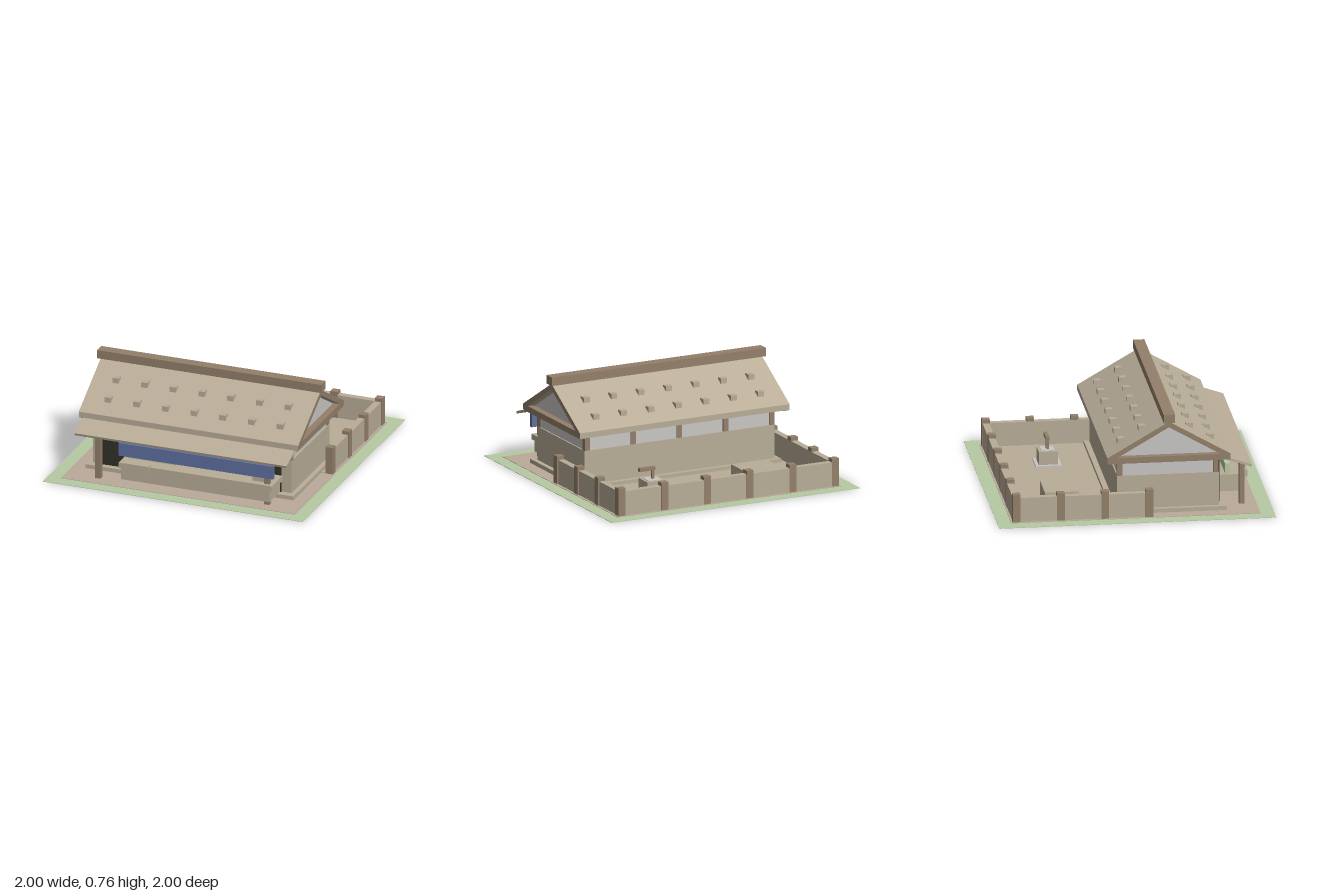
import * as THREE from 'three';

const mat = (name, color) => {
  const m = new THREE.MeshStandardMaterial({ color });
  m.name = name;
  return m;
};

export function createModel() {
  const model = new THREE.Group();
  model.name = 'farmShop';
  const clay = mat('clay', 0xb9ad98);
  const wood = mat('wood', 0x93806a);
  const grass = mat('grass', 0xb7c9a2);
  const dirt = mat('dirt', 0xbaaa9b);
  const plaster = mat('plaster', 0xc8c7c4);
  const cloth = mat('blueCloth', 0x60709f);
  const dark = mat('darkOpening', 0x32322b);

  // Box given by its min and max on each axis
  const box = (name, material, x0, x1, y0, y1, z0, z1) => {
    const m = new THREE.Mesh(new THREE.BoxGeometry(x1 - x0, y1 - y0, z1 - z0), material);
    m.position.set((x0 + x1) / 2, (y0 + y1) / 2, (z0 + z1) / 2);
    m.name = name;
    model.add(m);
    return m;
  };

  // Profile of [z, y] points swept along x, centred on x
  const prism = (name, material, points, width, x = 0) => {
    const shape = new THREE.Shape(points.map(([z, y]) => new THREE.Vector2(z, y)));
    const g = new THREE.ExtrudeGeometry(shape, { depth: width, bevelEnabled: false });
    g.translate(0, 0, -width / 2).rotateY(-Math.PI / 2);
    const m = new THREE.Mesh(g, material);
    m.position.x = x;
    m.name = name;
    model.add(m);
    return m;
  };

  // Ground
  box('grassBorder', grass, -1, 1, 0.001, 0.004, -1, 1);
  box('dirtGround', dirt, -0.9, 0.9, 0, 0.007, -0.9, 0.9);
  box('yardFloor', clay, -0.88, 0.88, 0.004, 0.011, -0.88, 0.125);
  box('plinth', clay, -0.8, 0.8, 0.002, 0.037, -0.16, 0.67);

  // House walls: clay below, plaster above, timber posts between
  box('lowerWall', clay, -0.765, 0.765, 0.037, 0.285, -0.12, 0.615);
  box('upperWall', plaster, -0.755, 0.755, 0.285, 0.42, -0.11, 0.605);
  for (const x of [-0.744, -0.372, 0, 0.372, 0.744]) {
    box('backPost', wood, x - 0.02, x + 0.02, 0.285, 0.42, -0.119, -0.08);
  }
  for (const s of [-1, 1]) {
    box('frontCornerPost', wood, s * 0.744 - 0.02, s * 0.744 + 0.02, 0.285, 0.42, 0.575, 0.614);
  }

  // Gables and tie beams
  for (const s of [-1, 1]) {
    prism('gable', plaster, [[-0.14, 0.42], [0.63, 0.42], [0.63, 0.445], [0.245, 0.668], [-0.14, 0.445]], 0.03, s * 0.765);
    box('tieBeam', wood, s * 0.815 - 0.025, s * 0.815 + 0.025, 0.4, 0.444, -0.195, 0.685);
  }

  // Main roof with timber gable edges
  const ridgeZ = 0.245;
  const ridgeY = 0.705;
  const slope = 0.58;
  prism('mainRoof', [wood, clay], [
    [-0.2, 0.405], [ridgeZ, 0.663], [0.69, 0.405],
    [0.69, 0.447], [ridgeZ, ridgeY], [-0.2, 0.447],
  ], 1.69);
  box('ridgeBeam', wood, -0.863, 0.863, 0.7, 0.763, 0.205, 0.287);

  // Roof weight stones
  for (const z of [-0.083, 0.07, 0.412, 0.566]) {
    const y = ridgeY - slope * Math.abs(z - ridgeZ);
    for (let i = -3; i <= 3; i++) {
      const x = i * 0.221;
      box('roofStone', clay, x - 0.024, x + 0.024, y - 0.012, y + 0.027, z - 0.025, z + 0.025);
    }
  }

  // Porch roof, posts and hanging cloth
  prism('porchRoof', clay, [[0.575, 0.423], [0.845, 0.33], [0.85, 0.347], [0.575, 0.442]], 1.63);
  for (const x of [-0.65, 0.65]) {
    box('porchPost', wood, x - 0.02, x + 0.02, 0.005, 0.35, 0.775, 0.812);
  }
  box('hangingCloth', cloth, -0.48, 0.71, 0.222, 0.32, 0.813, 0.84);

  // Shop front, counter and goods
  box('shopOpening', dark, -0.685, 0.69, 0.038, 0.4, 0.62, 0.629);
  box('counterBody', clay, -0.465, 0.68, 0.037, 0.127, 0.63, 0.83);
  box('counterTop', clay, -0.48, 0.7, 0.127, 0.167, 0.63, 0.84);
  box('counterSign', clay, -0.43, -0.24, 0.13, 0.18, 0.82, 0.865);
  box('greenGoods', grass, -0.45, -0.08, 0.167, 0.24, 0.7, 0.735);
  box('paleGoods', dirt, -0.035, 0.305, 0.167, 0.215, 0.665, 0.7);
  box('crate', clay, 0.53, 0.62, 0.167, 0.24, 0.737, 0.787);

  // Yard fence
  box('backFence', clay, -0.88, 0.88, 0.005, 0.186, -0.885, -0.836);
  for (const s of [-1, 1]) {
    box('sideFence', clay, s * 0.855 - 0.024, s * 0.855 + 0.024, 0.005, 0.186, -0.84, 0.12);
  }
  const fencePost = (x, z) =>
    box('fencePost', wood, x - 0.028, x + 0.028, 0.003, 0.212, z - 0.028, z + 0.028);
  for (let i = 0; i < 6; i++) fencePost(-0.86 + i * 0.344, -0.86);
  for (const z of [-0.54, -0.22, 0.1]) {
    fencePost(-0.86, z);
    fencePost(0.86, z);
  }

  // Yard bin
  box('storageBin', clay, -0.57, -0.285, 0.005, 0.115, -0.615, -0.37);

  // Well with lifting arm
  box('wellBase', plaster, 0.31, 0.5, 0.005, 0.022, -0.567, -0.38);
  box('wellBody', clay, 0.335, 0.477, 0.02, 0.12, -0.543, -0.405);
  box('wellWater', plaster, 0.356, 0.456, 0.115, 0.124, -0.522, -0.426);
  box('wellPost', wood, 0.39, 0.41, 0.1, 0.19, -0.484, -0.464);
  box('wellArm', wood, 0.385, 0.51, 0.187, 0.214, -0.487, -0.461);

  return model;
}
